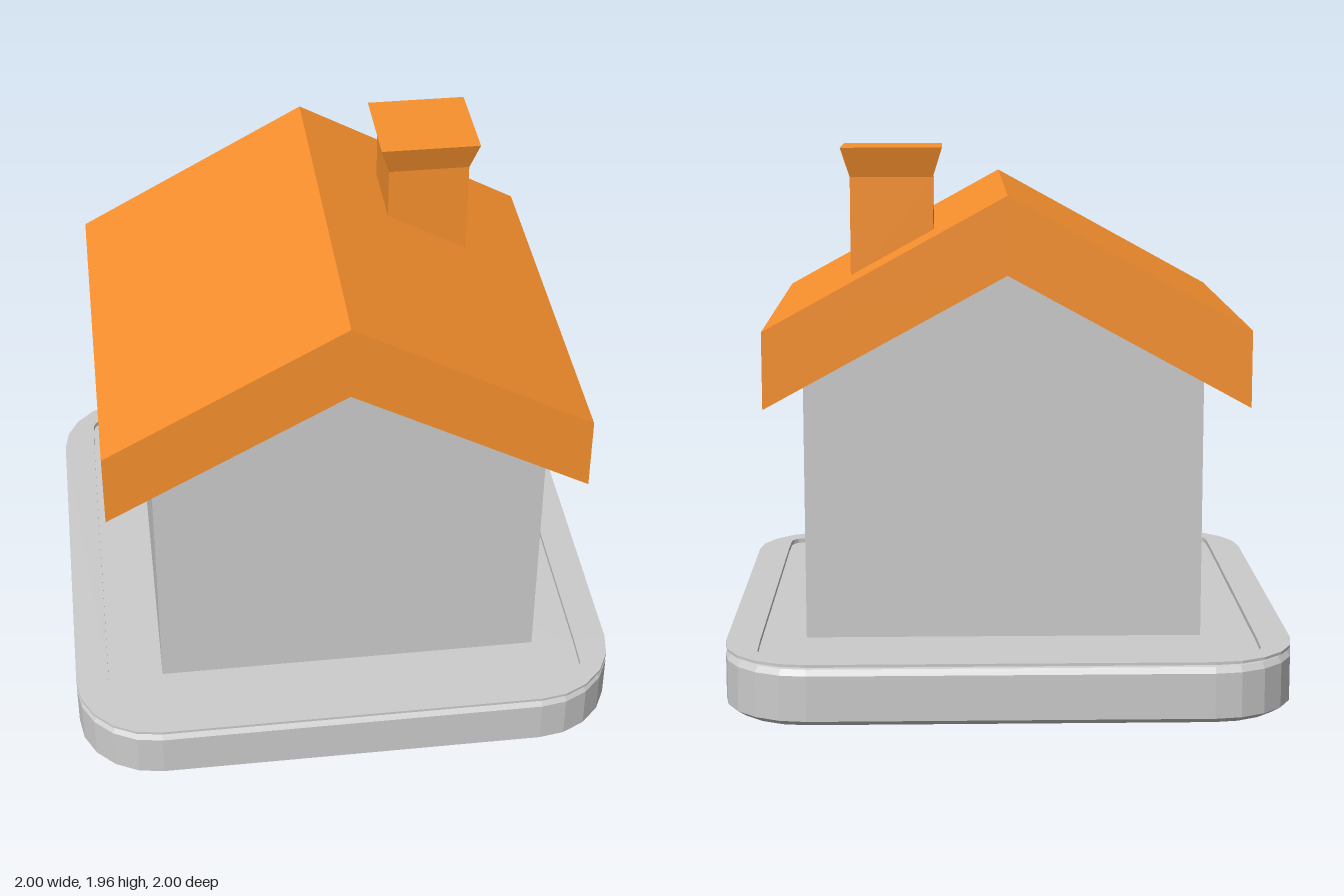
import * as THREE from 'three';

const grey = new THREE.MeshStandardMaterial({ color: 0xcccccc, flatShading: true });
const orange = new THREE.MeshStandardMaterial({ color: 0xf8912e, flatShading: true });

// Outline of a rounded square; power below 1 squares off the corner curve
function outline(half, radius, power = 1, steps = 5) {
  const points = [];
  for (let q = 0; q < 4; q++) {
    for (let i = 0; i <= steps; i++) {
      const a = (i / steps) * Math.PI / 2;
      const u = half - radius + radius * Math.max(0, Math.cos(a)) ** power;
      const v = half - radius + radius * Math.sin(a) ** power;
      points.push([[u, v], [-v, u], [-u, -v], [v, -u]][q]);
    }
  }
  return points;
}

// Skin stacked outlines, closing the first and last with a fan
function loft(sections) {
  const pos = [], index = [], n = sections[0].points.length;
  for (const { y, points } of sections) for (const [x, z] of points) pos.push(x, y, z);
  for (let s = 0; s < sections.length - 1; s++) {
    for (let i = 0; i < n; i++) {
      const a = s * n + i, b = s * n + (i + 1) % n;
      index.push(a, a + n, b, b, a + n, b + n);
    }
  }
  const last = (sections.length - 1) * n;
  for (let i = 1; i < n - 1; i++) {
    index.push(0, i, i + 1);
    index.push(last, last + i + 1, last + i);
  }
  const g = new THREE.BufferGeometry();
  g.setAttribute('position', new THREE.Float32BufferAttribute(pos, 3));
  g.setIndex(index);
  g.computeVertexNormals();
  return g;
}

// Extrude an x-y profile from zBack to zFront
function prism(profile, zBack, zFront) {
  const shape = new THREE.Shape(profile.map(([x, y]) => new THREE.Vector2(x, y)));
  const g = new THREE.ExtrudeGeometry(shape, { depth: zFront - zBack, bevelEnabled: false });
  return g.translate(0, 0, zBack);
}

export function createModel() {
  const model = new THREE.Group();
  model.name = 'house';
  const add = (name, geometry, material) => {
    const mesh = new THREE.Mesh(geometry, material);
    mesh.name = name;
    model.add(mesh);
    return mesh;
  };

  // Base: chamfered foot, thin groove, top rim and shallow recess
  const sections = [
    [0.90, 0], [0.965, 0.012], [1, 0.035], [1, 0.195], [0.985, 0.215],
    [0.965, 0.22], [0.965, 0.226], [1, 0.226], [1, 0.236],
  ].map(([half, y]) => ({ y, points: outline(half, half - 0.7) }));
  for (const y of [0.236, 0.218]) sections.push({ y, points: outline(0.88, 0.18, 0.3) });
  add('base', loft(sections), grey);

  // Walls with gables, reaching just into the roof
  add('walls', prism([
    [-0.68, 0.245], [0.715, 0.245], [0.715, 1.15], [0.005, 1.54], [-0.68, 1.163],
  ], -0.69, 0.71), grey);

  // Gabled roof slab with vertical eaves
  add('roof', prism([
    [-0.845, 1.065], [0.005, 1.53], [0.855, 1.065],
    [0.855, 1.337], [0.005, 1.805], [-0.845, 1.337],
  ], -0.71, 0.785), orange);

  // Chimney stack and its flared cap
  const stack = add('chimneyStack', new THREE.BoxGeometry(0.295, 0.4, 0.295), orange);
  stack.position.set(0.41, 1.65, -0.262);
  const flare = new THREE.CylinderGeometry(0.36 / Math.SQRT2, 0.295 / Math.SQRT2, 0.105, 4);
  const cap = add('chimneyCap', flare.rotateY(Math.PI / 4), orange);
  cap.position.set(0.41, 1.9025, -0.262);

  return model;
}
